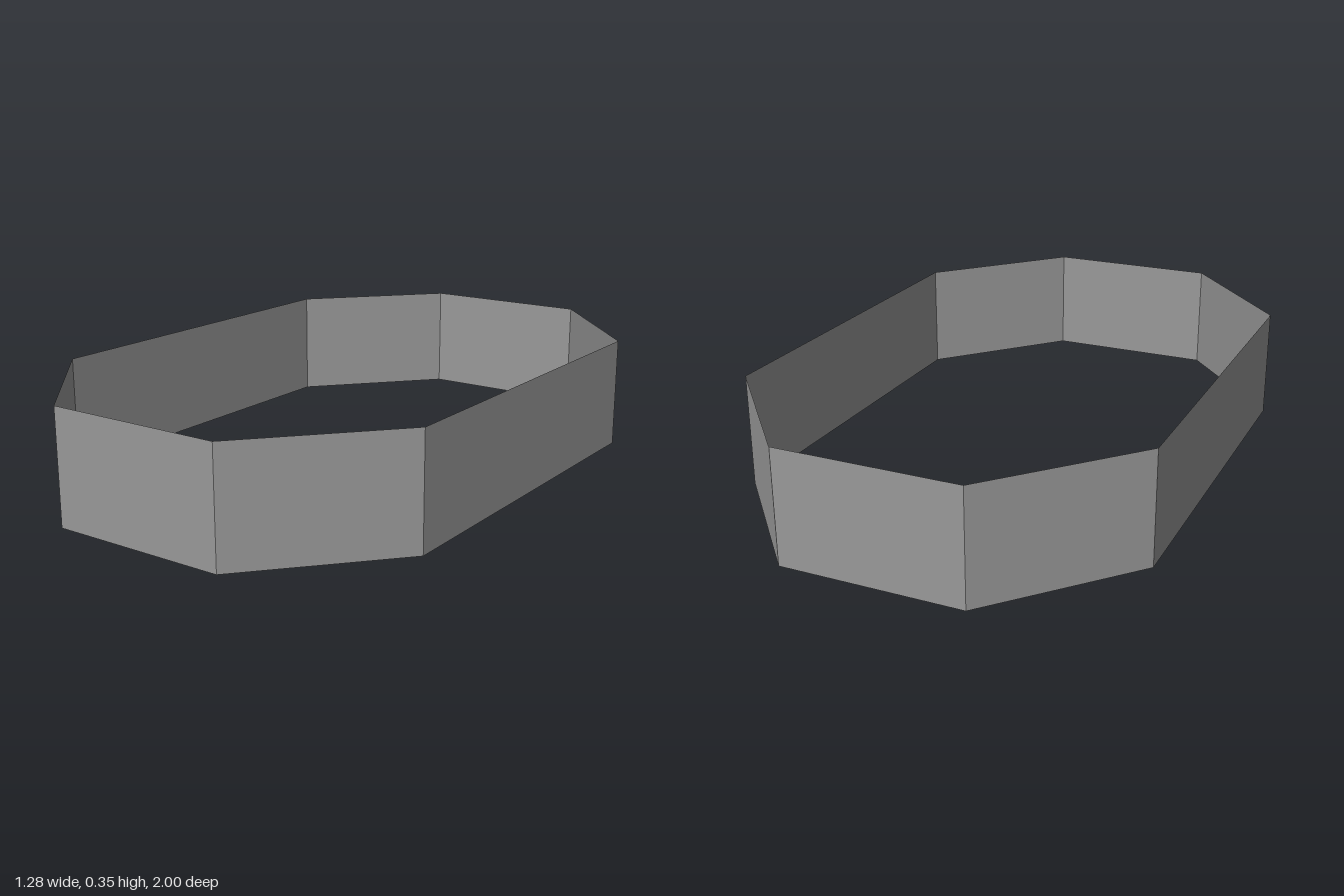
import * as THREE from 'three';

const HEIGHT = 0.35;

// Stretched octagon outline, counter-clockwise seen from the front of each wall
const OUTLINE = [
  [-0.28, 1], [0.28, 1], [0.64, 0.6], [0.64, -0.6],
  [0.28, -1], [-0.28, -1], [-0.64, -0.6], [-0.64, 0.6],
];

export function createModel() {
  const model = new THREE.Group();
  model.name = 'octagonalBand';
  const grey = new THREE.MeshStandardMaterial({ color: 0x999999, flatShading: true, side: THREE.DoubleSide });
  grey.name = 'grey';

  // One thin upright wall panel between each pair of neighbouring corners
  OUTLINE.forEach(([x0, z0], i) => {
    const [x1, z1] = OUTLINE[(i + 1) % OUTLINE.length];
    const dx = x1 - x0, dz = z1 - z0;
    const wall = new THREE.Mesh(new THREE.PlaneGeometry(Math.hypot(dx, dz), HEIGHT), grey);
    wall.name = `wallPanel${i + 1}`;
    wall.position.set((x0 + x1) / 2, HEIGHT / 2, (z0 + z1) / 2);
    wall.rotation.y = Math.atan2(-dz, dx);
    model.add(wall);
  });
  return model;
}
